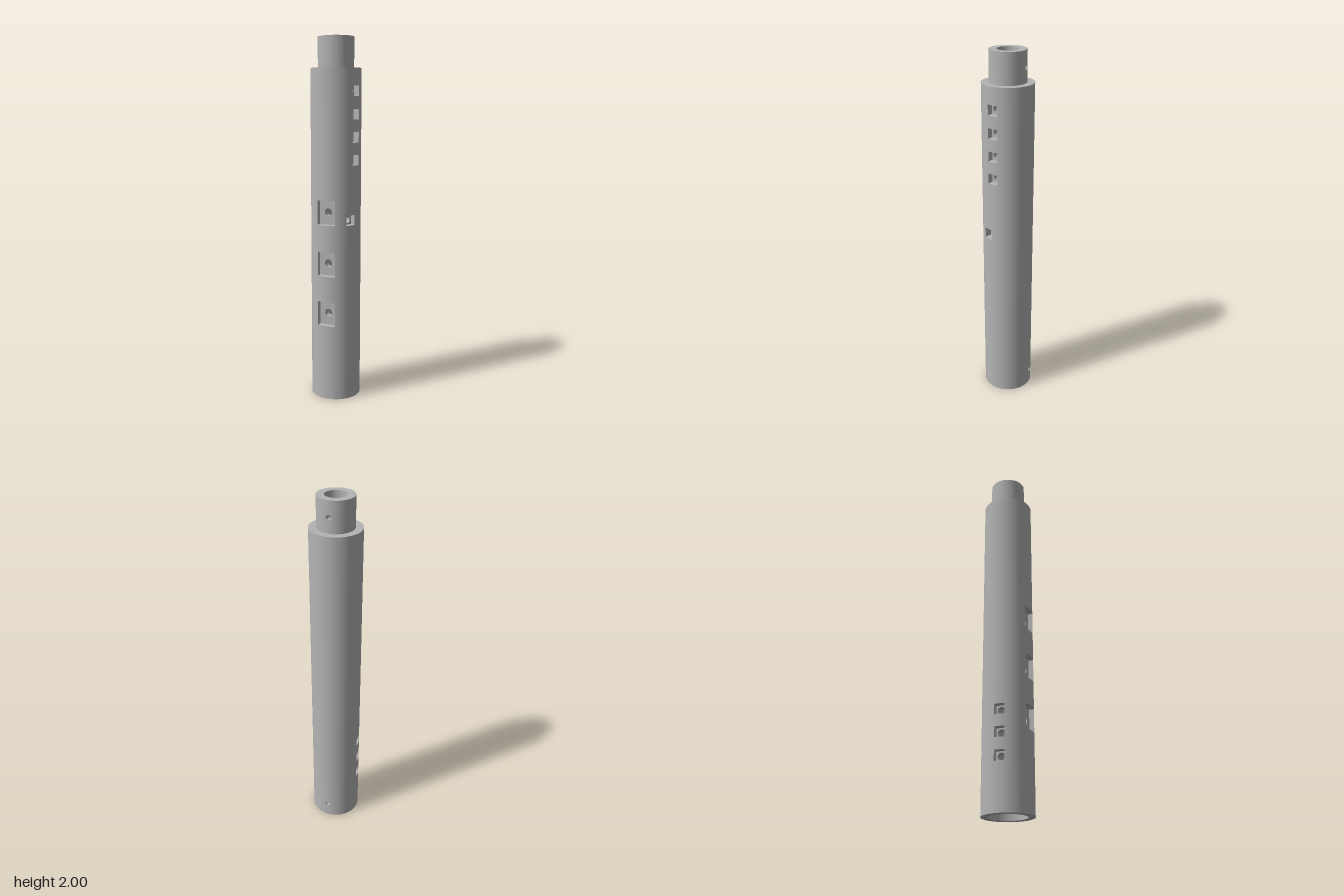
import * as THREE from 'three';

const BODY_R = 0.138, NECK_R = 0.098, BORE_R = 0.058, SOCKET_R = 0.102;
const TOP = 2, SHOULDER = 1.835, SOCKET_TOP = 0.165;
const FLOOR = 0.1; // distance of the flat pocket floors from the axis
const rad = THREE.MathUtils.degToRad;
const steps = (a, b, n) => Array.from({ length: n + 1 }, (_, i) => a + (b - a) * i / n);

// Pockets: azimuth from the front, height, half width, half height, drilled hole radius
const pockets = [
  ...[1.063, 0.778, 0.495].map(y => ({ az: 0, y, w: 0.052, h: 0.068, r: 0.022 })),
  ...[1.714, 1.592, 1.469, 1.347].map(y => ({ az: rad(75), y, w: 0.028, h: 0.028, r: 0.02 })),
  { az: rad(60), y: 1.022, w: 0.028, h: 0.028, r: 0.02 },
  ...[0.525, 0.404, 0.283].map(y => ({ az: rad(276), y, w: 0.028, h: 0.028, r: 0.02 })),
];
// Small pin holes at the back of the neck and of the socket
const pin = y => ({ az: Math.PI, y, w: 0.018, h: 0.018, r: 0.014 });
const neckPin = pin(1.915), socketPin = pin(0.083);

// Grid surface over two parameter lists, with optional skipped cells
function surface(us, vs, point, flip = false, skip = () => false) {
  const pos = [], index = [], n = vs.length;
  us.forEach(u => vs.forEach(v => pos.push(...point(u, v))));
  for (let i = 0; i < us.length - 1; i++) {
    for (let j = 0; j < n - 1; j++) {
      if (skip((us[i] + us[i + 1]) / 2, (vs[j] + vs[j + 1]) / 2)) continue;
      const a = i * n + j, b = a + n, c = b + 1, d = a + 1;
      index.push(...(flip ? [a, c, b, a, d, c] : [a, b, c, a, c, d]));
    }
  }
  const geo = new THREE.BufferGeometry();
  geo.setAttribute('position', new THREE.Float32BufferAttribute(pos, 3));
  geo.setIndex(index);
  geo.computeVertexNormals();
  return geo;
}

// Smooth normals pointing away from (or towards) the tube axis
function radialNormals(geo, inward) {
  const p = geo.attributes.position, s = inward ? -1 : 1;
  for (let i = 0; i < p.count; i++) {
    const l = Math.hypot(p.getX(i), p.getZ(i));
    geo.attributes.normal.setXYZ(i, s * p.getX(i) / l, 0, s * p.getZ(i) / l);
  }
  return geo;
}

// Cylinder wall with rectangular openings
function wall(R, y0, y1, openings, inward = false) {
  const TAU = Math.PI * 2;
  const us = steps(0, TAU, 96), vs = [y0, y1];
  for (const o of openings) {
    const half = Math.asin(o.w / R);
    us.push((o.az - half + TAU) % TAU, (o.az + half) % TAU);
    vs.push(o.y - o.h, o.y + o.h);
  }
  const tidy = list => list.sort((a, b) => a - b).filter((v, i) => i === 0 || v - list[i - 1] > 1e-5);
  const skip = (u, v) => openings.some(o => {
    const d = Math.abs(u - o.az), off = Math.min(d, TAU - d);
    return off < Math.asin(o.w / R) && Math.abs(v - o.y) < o.h;
  });
  const point = (u, v) => [R * Math.sin(u), v, R * Math.cos(u)];
  return radialNormals(surface(tidy(us), tidy(vs), point, inward, skip), inward);
}

// Curved rectangular patch with a round hole, filling one opening of a wall
function holePatch(R, o, inward = false) {
  const point = (s, a) => {
    const c = Math.cos(a), n = Math.sin(a), k = 1 / Math.max(Math.abs(c), Math.abs(n));
    const t = c * (o.r + (o.w * k - o.r) * s), y = n * (o.r + (o.h * k - o.r) * s);
    return [t, y, Math.sqrt(R * R - t * t)];
  };
  return radialNormals(surface([0, 1], steps(0, Math.PI * 2, 32), point, inward), inward);
}

// Round drilled hole running between two depths
function drilling(r, inner, outer) {
  return surface(steps(0, Math.PI * 2, 32), [0, 1], (a, s) => {
    const t = r * Math.cos(a), i = inner(t);
    return [t, r * Math.sin(a), i + (outer(t) - i) * s];
  }, true);
}
const onCylinder = R => t => Math.sqrt(R * R - t * t);

export function createModel() {
  const model = new THREE.Group();
  const grey = new THREE.MeshStandardMaterial({ color: 0xb4b4b4 });
  grey.name = 'grey';

  const add = (name, geo, parent = model) => {
    const mesh = new THREE.Mesh(geo, grey);
    mesh.name = name;
    parent.add(mesh);
    return mesh;
  };
  // Group at an opening: local z points out of the tube
  const place = (name, o) => {
    const g = new THREE.Group();
    g.name = name;
    g.position.y = o.y;
    g.rotation.y = o.az;
    model.add(g);
    return g;
  };
  const ring = (name, inner, outer, y, up) => {
    const geo = new THREE.RingGeometry(inner, outer, 96, 1);
    geo.rotateX(up ? -Math.PI / 2 : Math.PI / 2);
    add(name, geo).position.y = y;
  };

  // Tube walls, inside and out
  const boreHoles = [...pockets, neckPin].map(o => ({ ...o, w: o.r * 1.1, h: o.r * 1.1 }));
  add('body', wall(BODY_R, 0, SHOULDER, [...pockets, socketPin]));
  add('neck', wall(NECK_R, SHOULDER, TOP, [neckPin]));
  add('bore', wall(BORE_R, SOCKET_TOP, TOP, boreHoles, true));
  add('socket', wall(SOCKET_R, 0, SOCKET_TOP, [socketPin], true));

  // Flat ends and steps
  ring('neckRim', BORE_R, NECK_R, TOP, true);
  ring('shoulder', NECK_R, BODY_R, SHOULDER, true);
  ring('bottomRim', SOCKET_R, BODY_R, 0, false);
  ring('socketCeiling', BORE_R, SOCKET_R, SOCKET_TOP, false);

  // Pockets with a flat floor and a hole through to the bore
  for (const o of pockets) {
    const { w, h, r } = o, g = place('pocket', o), edge = onCylinder(BODY_R);
    const floor = new THREE.Shape([[-w, -h], [w, -h], [w, h], [-w, h]].map(p => new THREE.Vector2(...p)));
    floor.holes.push(new THREE.Path().absarc(0, 0, r, 0, Math.PI * 2, true));
    add('pocketFloor', new THREE.ShapeGeometry(floor, 32), g).position.z = FLOOR;
    for (const s of [-1, 1]) {
      add('pocketSide', surface([-h, h], [FLOOR, edge(w)], (y, z) => [s * w, y, z], s > 0), g);
      add('pocketEnd', surface([0, 1], steps(-w, w, 12),
        (k, t) => [t, s * h, FLOOR + (edge(t) - FLOOR) * k], s > 0), g);
    }
    add('pocketHole', drilling(r, onCylinder(BORE_R), () => FLOOR), g);
  }
  for (const o of boreHoles) add('boreHoleEdge', holePatch(BORE_R, o, true), place('boreHole', o));

  // Pin holes
  for (const [o, outer, inner] of [[neckPin, NECK_R, BORE_R], [socketPin, BODY_R, SOCKET_R]]) {
    const g = place('pinHole', o);
    add('pinHoleEdge', holePatch(outer, o), g);
    add('pinHoleWall', drilling(o.r, onCylinder(inner), onCylinder(outer)), g);
  }
  add('socketHoleEdge', holePatch(SOCKET_R, socketPin, true), place('socketHole', socketPin));

  return model;
}
